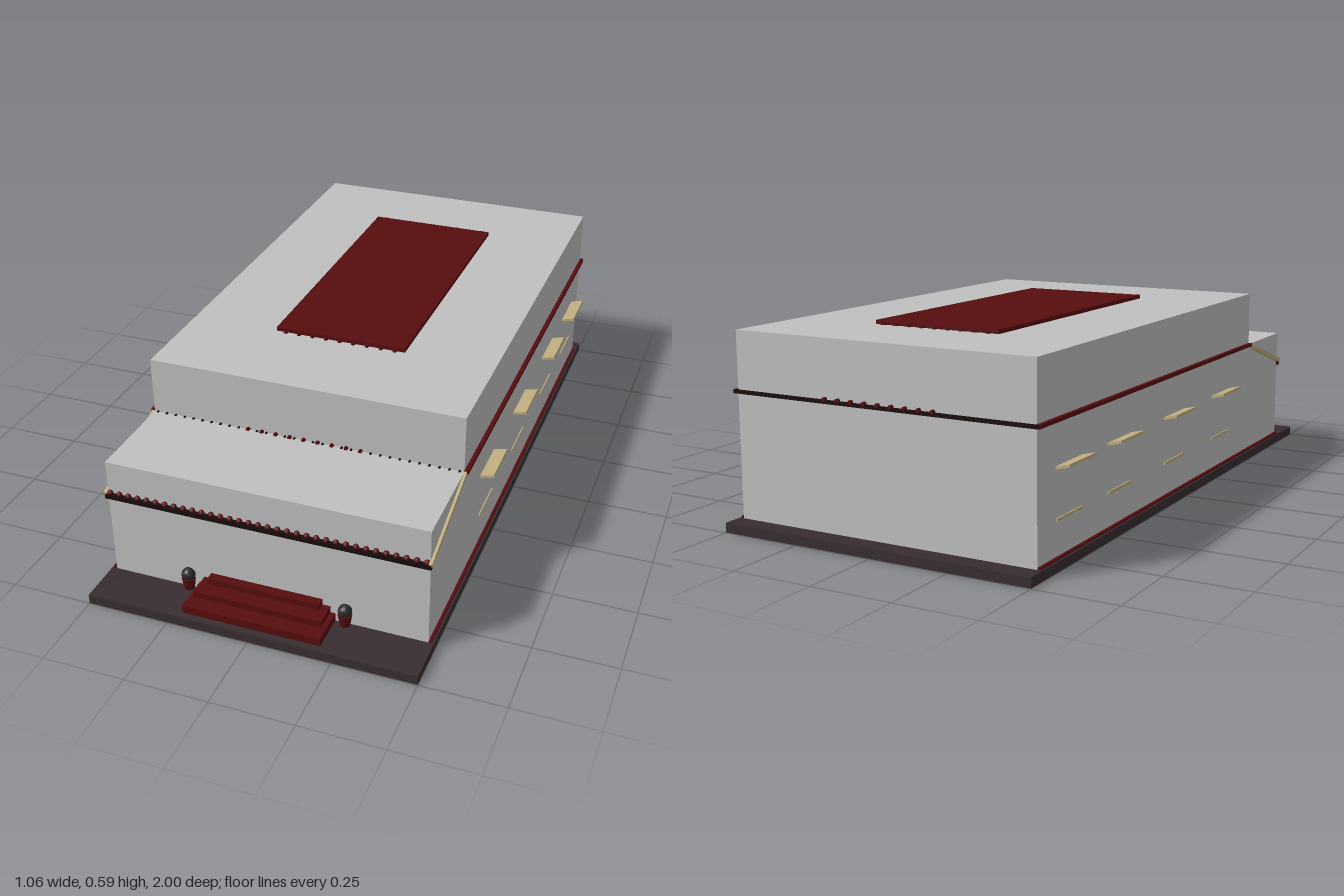
import * as THREE from 'three';

const mat = (name, color, side = THREE.FrontSide) =>
  Object.assign(new THREE.MeshStandardMaterial({ color, side }), { name });

export function createModel() {
  const wall = mat('wall grey', 0xc0c0c0);
  const stone = mat('dark stone', 0x382d30);
  const red = mat('dark red', 0x570d0e);
  const tan = mat('tan', 0xbcab7c);
  const black = mat('near black', 0x180c0c);
  const leaf = mat('dark foliage', 0x2c282a);
  leaf.flatShading = true;

  const model = new THREE.Group();
  model.name = 'building';

  const add = (name, geometry, material, x = 0, y = 0, z = 0, parent = model) => {
    const mesh = new THREE.Mesh(geometry, material);
    mesh.name = name;
    mesh.position.set(x, y, z);
    parent.add(mesh);
    return mesh;
  };
  // Box given by its lower and upper limits
  const box = (name, m, x0, x1, y0, y1, z0, z1, parent = model) =>
    add(name, new THREE.BoxGeometry(x1 - x0, y1 - y0, z1 - z0), m,
      (x0 + x1) / 2, (y0 + y1) / 2, (z0 + z1) / 2, parent);

  // Plinth and the two stepped volumes
  box('plinth', stone, -0.5, 0.5, 0.001, 0.03, -1, 1);
  box('mainHall', wall, -0.485, 0.485, 0, 0.58, -0.94, 0.56);
  box('frontHall', wall, -0.485, 0.485, 0.02, 0.405, 0.56, 0.86);

  // Entrance steps
  [[0.21, 0.055, 0.977], [0.195, 0.076, 0.932], [0.172, 0.095, 0.888]].forEach(
    ([w, top, front], i) => box('step' + (i + 1), red, -w, w, 0.03, top, 0.85, front));

  // Raised roof panel, with tile ends at the front and back
  box('roofPanel', red, -0.208, 0.206, 0.575, 0.592, -0.658, 0.262);
  const tile = new THREE.CylinderGeometry(0.006, 0.006, 0.94, 8).rotateX(Math.PI / 2);
  for (let i = -4; i <= 4; i++) add('roofTile', tile, red, i * 0.044, 0.583, -0.198);

  // Eaves band round the main hall, with tile ends across front and back
  box('backEave', black, -0.495, 0.495, 0.399, 0.409, -0.95, -0.938);
  const eaveEnd = new THREE.CylinderGeometry(0.006, 0.006, 0.012, 8).rotateX(Math.PI / 2);
  const smallEnd = new THREE.CylinderGeometry(0.0035, 0.0035, 0.01, 6).rotateX(Math.PI / 2);
  for (let i = -4; i <= 4; i++) {
    add('frontEaveTile', eaveEnd, red, i * 0.044, 0.408, 0.563);
    add('backEaveTile', eaveEnd, red, i * 0.044, 0.411, -0.945);
  }
  for (let i = -16; i <= 16; i++) add('smallEaveTile', smallEnd, black, i * 0.0295, 0.406, 0.562);

  // Front canopy edge with a row of round tiles
  box('canopyEdge', black, -0.49, 0.49, 0.288, 0.303, 0.855, 0.872);
  const bead = new THREE.SphereGeometry(0.009, 10, 6);
  for (let i = 0; i < 34; i++) add('canopyTile', bead, red, -0.476 + i * 0.02885, 0.305, 0.863);

  // Everything mirrored on both sides
  for (const s of [1, -1]) {
    const side = new THREE.Group();
    side.name = s > 0 ? 'leftSide' : 'rightSide';
    model.add(side);

    // Eaves band and foot moulding
    const x0 = s > 0 ? 0.483 : -0.497, x1 = s > 0 ? 0.497 : -0.483;
    box('sideEave', red, x0, x1, 0.399, 0.41, -0.945, 0.56, side);
    box('footMoulding', red, s > 0 ? 0.48 : -0.494, s > 0 ? 0.494 : -0.48,
      0.03, 0.036, -0.94, 0.86, side);

    // Sloping canopy trim
    const dz = 0.32, dy = 0.1;
    const trim = add('canopyTrim', new THREE.BoxGeometry(0.01, 0.013, Math.hypot(dz, dy)),
      tan, s * 0.488, 0.353, 0.712, side);
    trim.rotation.x = Math.atan2(dy, dz);

    // Window awnings tilting upward, with sills beneath
    for (const z of [0.305, -0.078, -0.462, -0.767]) {
      const awning = add('awning', new THREE.BoxGeometry(0.046, 0.008, 0.154),
        tan, s * 0.505, 0.281, z, side);
      awning.rotation.z = s * 0.24;
      add('sill', new THREE.BoxGeometry(0.012, 0.008, 0.146), tan, s * 0.483, 0.136, z, side);
    }

    // Potted shrub beside the steps
    add('pot', new THREE.CylinderGeometry(0.021, 0.015, 0.037, 12), red, s * 0.242, 0.0485, 0.868, side);
    add('shrub', new THREE.IcosahedronGeometry(0.021, 1), leaf, s * 0.242, 0.079, 0.868, side);
  }
  return model;
}
